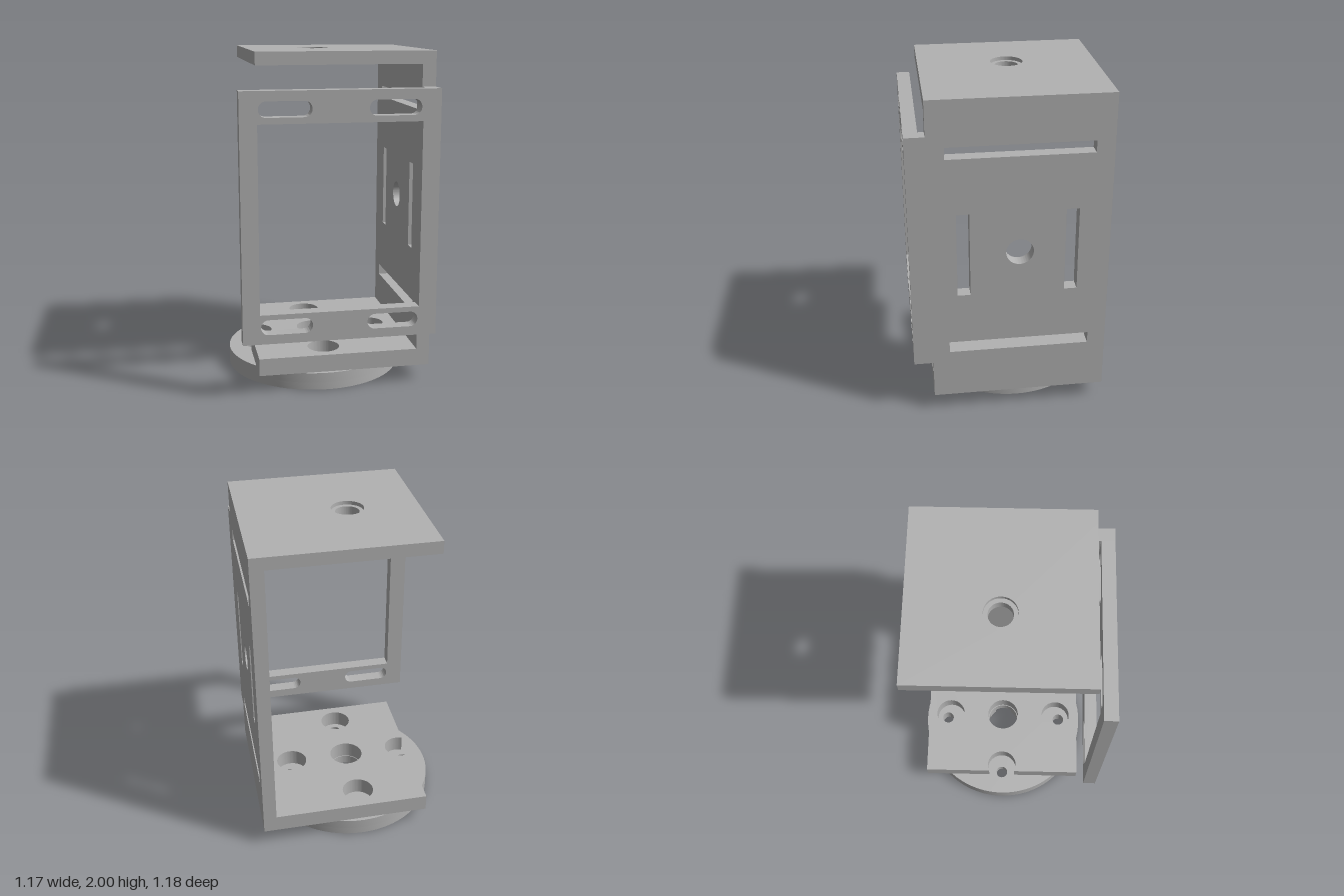
import * as THREE from 'three';
import { toCreasedNormals } from 'three/addons/utils/BufferGeometryUtils.js';

const CX = -0.0425, CZ = -0.045; // vertical axis of the disc and bores
const PI = Math.PI;

function rect(x0, x1, y0, y1, Type = THREE.Path) {
  const p = new Type();
  p.moveTo(x0, y0).lineTo(x1, y0).lineTo(x1, y1).lineTo(x0, y1).closePath();
  return p;
}

function circle(x, y, r, Type = THREE.Path) {
  const p = new Type();
  p.absarc(x, y, r, 0, PI * 2, false);
  return p;
}

// Horizontal slot with round ends
function roundSlot(x0, x1, y, r) {
  const p = new THREE.Path();
  p.absarc(x1 - r, y, r, -PI / 2, PI / 2, false);
  p.absarc(x0 + r, y, r, PI / 2, PI * 1.5, false);
  p.closePath();
  return p;
}

// Recess with two long and two short arms around a round centre
function hornRecess() {
  const p = new THREE.Path(), R = 0.1;
  const arms = [{ w: 0.055, t: 0.03, len: 0.5 }, { w: 0.04, t: 0.035, len: 0.26 }];
  for (let i = 0; i < 4; i++) {
    const { w, t, len } = arms[i % 2], a = i * PI / 2;
    const next = arms[(i + 1) % 2];
    p.absarc(CX + Math.cos(a) * (len - t), -CZ + Math.sin(a) * (len - t), t, a - PI / 2, a + PI / 2, false);
    p.absarc(CX, -CZ, R, a + Math.asin(w / R), a + PI / 2 - Math.asin(next.w / R), false);
  }
  p.closePath();
  return p;
}

export function createModel() {
  const group = new THREE.Group();
  const grey = new THREE.MeshStandardMaterial({ color: 0xb2b2b2 });
  grey.name = 'grey';

  function plate(name, shape, holes, depth) {
    shape.holes.push(...holes);
    const geo = new THREE.ExtrudeGeometry(shape, { depth, bevelEnabled: false, curveSegments: 40 });
    const mesh = new THREE.Mesh(toCreasedNormals(geo, 0.5), grey);
    mesh.name = name;
    group.add(mesh);
    return mesh;
  }
  // Horizontal plate: shape coordinates are (x, -z)
  function flat(name, shape, holes, y0, y1) {
    const mesh = plate(name, shape, holes, y1 - y0);
    mesh.rotation.x = -PI / 2;
    mesh.position.y = y0;
  }

  // Side wall with front tab: shape coordinates are (-z, y)
  const wall = new THREE.Shape();
  wall.moveTo(-0.475, 0.105).lineTo(0.565, 0.105).lineTo(0.565, 2).lineTo(-0.475, 2)
    .lineTo(-0.475, 1.795).lineTo(-0.59, 1.795).lineTo(-0.59, 0.345).lineTo(-0.475, 0.345).closePath();
  const side = plate('sideWall', wall, [
    rect(-0.375, 0.46, 1.66, 1.73),
    rect(-0.375, 0.46, 0.415, 0.485),
    rect(-0.32, -0.245, 0.805, 1.325),
    rect(0.305, 0.38, 0.805, 1.325),
    circle(0.042, 1.07, 0.08),
  ], 0.08);
  side.rotation.y = PI / 2;
  side.position.x = 0.505;

  // Front frame with four mounting slots
  const slots = [];
  for (const y of [0.445, 1.693]) {
    slots.push(roundSlot(-0.455, -0.153, y, 0.045), roundSlot(0.17, 0.472, y, 0.045));
  }
  const frame = plate('frontFrame', rect(-0.56, 0.505, 0.345, 1.795, THREE.Shape),
    [rect(-0.46, 0.48, 0.52, 1.612), ...slots], 0.08);
  frame.position.z = 0.51;

  // Top plate: through bore with a shallow counterbore above
  const square = () => rect(-0.455, 0.505, -0.475, 0.565, THREE.Shape);
  flat('topPlate', square(), [circle(CX, -CZ, 0.07)], 1.925, 1.978);
  flat('topPlateCounterbore', square(), [circle(CX, -CZ, 0.095)], 1.978, 2);

  // Bottom plate: centre hole, three ring holes, fourth opens through the edge
  const base = new THREE.Shape(), ring = 0.37, r = 0.097;
  const open = Math.acos((-0.455 - (CX - ring)) / r);
  base.moveTo(-0.455, -0.475).lineTo(0.505, -0.475).lineTo(0.505, 0.565).lineTo(-0.455, 0.565);
  base.absarc(CX - ring, -CZ, r, open, -open, true);
  base.closePath();
  flat('bottomPlate', base, [
    circle(CX, -CZ, 0.105),
    circle(CX + ring, -CZ, r),
    circle(CX, -CZ + ring, r),
    circle(CX, -CZ - ring, r),
  ], 0.105, 0.21);

  // Round base disc: recessed lower layer and drilled upper layer
  const disc = () => circle(CX, -CZ, 0.5425, THREE.Shape);
  const drill = (dx, dz) => circle(CX + dx, -CZ + dz, 0.038);
  const d = 0.395;
  flat('baseDiscRecess', disc(), [hornRecess(), drill(0, d), drill(0, -d)], 0, 0.045);
  flat('baseDisc', disc(),
    [circle(CX, -CZ, 0.1), drill(d, 0), drill(-d, 0), drill(0, d), drill(0, -d)], 0.045, 0.105);

  return group;
}
